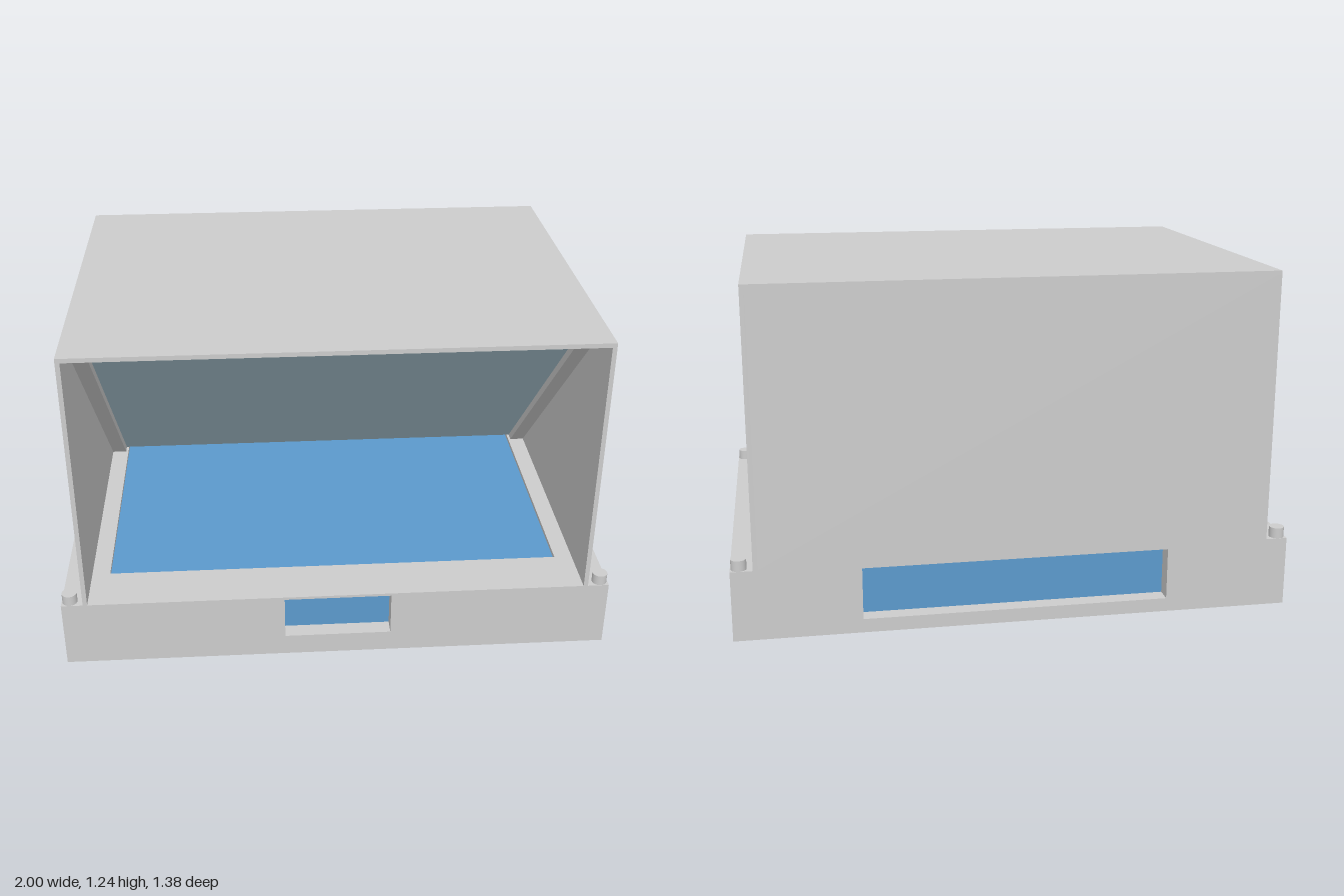
import * as THREE from 'three';

const grey = new THREE.MeshStandardMaterial({ color: 0xcccccc });
grey.name = 'lightGrey';
const blue = new THREE.MeshStandardMaterial({ color: 0x5b99cc });
blue.name = 'screenBlue';
const pale = new THREE.MeshStandardMaterial({ color: 0xa9c5d1 });
pale.name = 'paleMirror';

const W = 2, D = 1.38, H = 0.255, T = 0.06; // base size and wall thickness

export function createModel() {
  const model = new THREE.Group();

  const add = (name, geometry, material, x = 0, y = 0, z = 0) => {
    const mesh = new THREE.Mesh(geometry, material);
    mesh.name = name;
    mesh.position.set(x, y, z);
    model.add(mesh);
    return mesh;
  };
  const box = (name, w, h, d, material, x, y, z) =>
    add(name, new THREE.BoxGeometry(w, h, d), material, x, y, z);
  const outline = (points) => new THREE.Shape(points.map(([x, y]) => new THREE.Vector2(x, y)));
  const rect = (w, y0, y1) => outline([[-w, y0], [w, y0], [w, y1], [-w, y1]]);

  // Plate with one rectangular opening, extruded from z = 0
  const framed = (w, y0, y1, hw, h0, h1, depth) => {
    const shape = rect(w, y0, y1);
    shape.holes.push(rect(hw, h0, h1));
    return new THREE.ExtrudeGeometry(shape, { depth, bevelEnabled: false });
  };

  // Base walls, each with its own window
  add('baseFront', framed(W / 2, 0, H, 0.195, 0.08, 0.245, T), grey, 0, 0, D / 2 - T);
  add('baseBack', framed(W / 2, 0, H, 0.55, 0.05, 0.24, T), grey, 0, 0, -D / 2);
  for (const s of [-1, 1]) {
    const side = framed(D / 2 - T, 0, H, 0.335, 0.05, 0.24, T);
    side.translate(0, 0, -T / 2).rotateY(Math.PI / 2);
    add(s > 0 ? 'baseLeft' : 'baseRight', side, grey, s * (W / 2 - T / 2), 0, 0);
  }

  // Base top and bottom frames around the blue core
  const ring = (name, hz, y, depth) => {
    const z = D / 2 - T;
    const geometry = framed(W / 2 - T, -z, z, 0.84, -hz, hz, depth);
    add(name, geometry.rotateX(-Math.PI / 2), grey, 0, y, 0);
  };
  ring('baseTopFrame', 0.5, 0.24, 0.015);
  ring('baseBottomFrame', 0.52, 0, 0.03);
  box('screenCore', W - 2 * T, 0.205, D - 2 * T, blue, 0, 0.1325, 0);

  // Corner pegs
  for (const x of [-0.97, 0.97]) {
    for (const z of [-0.662, 0.662]) {
      add('cornerPeg', new THREE.CylinderGeometry(0.027, 0.027, 0.053, 24), grey, x, 0.2665, z);
    }
  }

  // Hood, open at the front
  const top = 1.24, wall = 0.016, hoodW = 0.922;
  box('hoodRoof', hoodW * 2, wall, D, grey, 0, top - wall / 2, 0);
  const hoodH = top - wall - H;
  for (const s of [-1, 1]) {
    box('hoodSide', wall, hoodH, D, grey, s * (hoodW - wall / 2), H + hoodH / 2, 0);
  }
  box('hoodBack', (hoodW - wall) * 2, hoodH, wall, grey, 0, H + hoodH / 2, -D / 2 + wall / 2);
  box('hoodCrossbar', 1.8, 0.024, 0.05, grey, 0, 1.212, 0.52);

  // Sloping parts: a (z, y) profile extruded across x
  const sloped = (name, points, width, material, x) => {
    const geometry = new THREE.ExtrudeGeometry(outline(points), { depth: width, bevelEnabled: false });
    geometry.translate(0, 0, -width / 2).rotateY(-Math.PI / 2);
    add(name, geometry, material, x);
  };
  const rail = [[-0.41, H], [0.515, 1.18], [0.495, 1.2], [-0.45, H]];
  for (const s of [-1, 1]) sloped('mirrorRail', rail, 0.056, grey, s * 0.878);
  const mirror = [[-0.45, H], [0.43, 1.135], [0.41, 1.155], [-0.49, H]];
  sloped('mirrorPanel', mirror, 1.81, pale, 0);

  return model;
}
